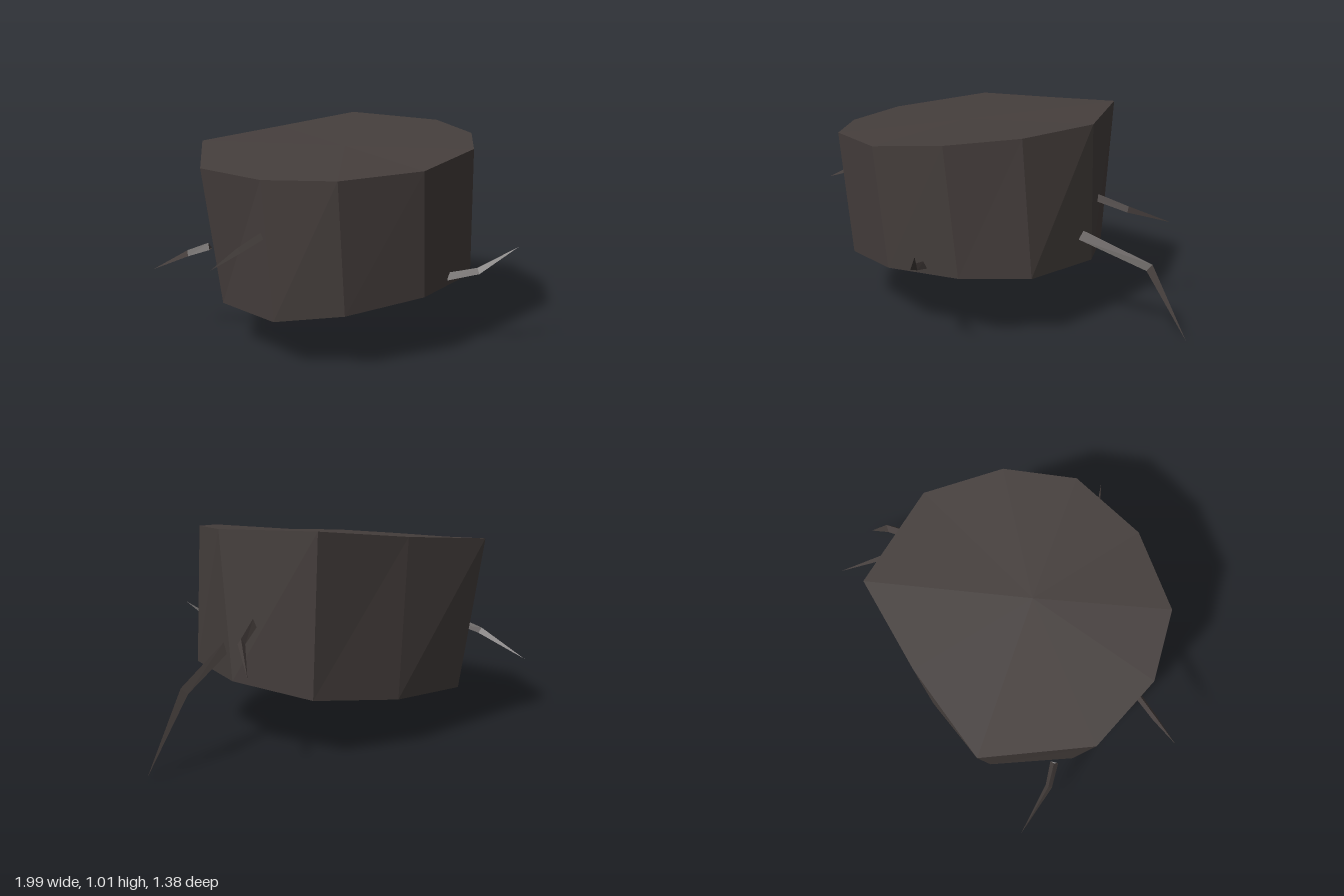
import * as THREE from 'three';

const bark = new THREE.MeshStandardMaterial({ color: 0x453e3c, flatShading: true, side: THREE.DoubleSide });
bark.name = 'darkBark';

// Flat-shaded mesh from a list of triangles of Vector3 corners
function facetMesh(name, points) {
  const geometry = new THREE.BufferGeometry().setFromPoints(points);
  geometry.computeVertexNormals();
  const mesh = new THREE.Mesh(geometry, bark);
  mesh.name = name;
  return mesh;
}

// Triangles of the band between two rings of equal length
function band(upper, lower) {
  const out = [];
  upper.forEach((a, i) => {
    const j = (i + 1) % upper.length;
    out.push(a, upper[j], lower[j], a, lower[j], lower[i]);
  });
  return out;
}

const toPoints = (rows) => rows.map((p) => new THREE.Vector3(...p));

// Trunk rims, from the back left corner round by the left side to the front
const topRim = toPoints([
  [-0.607, 0.94, -0.64], [-0.135, 0.975, -0.67], [0.32, 1.02, -0.65], [0.555, 1.005, -0.2], [0.47, 0.985, 0.18],
  [0.25, 0.96, 0.45], [-0.12, 0.91, 0.55], [-0.51, 0.895, 0.46], [-0.735, 0.885, 0.2], [-0.835, 0.89, -0.18],
]);
const bottomRim = toPoints([
  [-0.54, 0.215, -0.56], [-0.12, 0.235, -0.64], [0.31, 0.283, -0.6], [0.527, 0.323, -0.26], [0.51, 0.33, 0.146],
  [0.29, 0.338, 0.4], [-0.08, 0.318, 0.51], [-0.46, 0.28, 0.43], [-0.69, 0.235, 0.2], [-0.74, 0.225, -0.2],
]);

// Twigs: base, knee, tip, base radius
const twigs = [
  ['leftLongTwig', [[0.52, 0.465, -0.18], [0.805, 0.335, -0.345], [1.0, 0.005, -0.4]], 0.028],
  ['leftBackTwig', [[0.46, 0.605, -0.35], [0.58, 0.545, -0.455], [0.675, 0.45, -0.69]], 0.022],
  ['rightBackTwig', [[-0.74, 0.475, -0.32], [-0.815, 0.435, -0.4], [-0.915, 0.32, -0.62]], 0.022],
  ['rightTwig', [[-0.71, 0.63, 0.165], [-0.84, 0.583, 0.18], [-0.985, 0.525, 0.2]], 0.018],
  ['frontTwig', [[0.11, 0.365, 0.45], [0.19, 0.41, 0.575], [0.33, 0.53, 0.685]], 0.022],
];

// Bent, tapering three-sided spike
function makeTwig(name, rows, radius) {
  const path = toPoints(rows);
  const [base, knee, tip] = path;
  const ring = (centre, dir, r) => {
    const side = new THREE.Vector3(0, 1, 0).cross(dir).normalize();
    const up = dir.clone().cross(side).normalize();
    return [0, 1, 2].map((k) => {
      const a = Math.PI / 2 + (k * Math.PI * 2) / 3;
      return centre.clone().addScaledVector(side, Math.cos(a) * r).addScaledVector(up, Math.sin(a) * r);
    });
  };
  const d1 = knee.clone().sub(base).normalize();
  const d2 = tip.clone().sub(knee).normalize();
  const r0 = ring(base, d1, radius);
  const r1 = ring(knee, d1.clone().add(d2).normalize(), radius * 0.85);
  const points = band(r1, r0);
  r1.forEach((p, i) => points.push(p, r1[(i + 1) % 3], tip));
  // reverse each triangle so the faces look outward
  for (let i = 0; i < points.length; i += 3) [points[i + 1], points[i + 2]] = [points[i + 2], points[i + 1]];
  return facetMesh(name, points);
}

export function createModel() {
  const model = new THREE.Group();
  model.name = 'stump';

  // Hollow trunk wall, open underneath
  model.add(facetMesh('trunkWall', band(topRim, bottomRim)));

  // Sloping cut top
  const centre = topRim.reduce((sum, p) => sum.add(p), new THREE.Vector3()).divideScalar(topRim.length);
  const cap = [];
  topRim.forEach((p, i) => cap.push(centre, topRim[(i + 1) % topRim.length], p));
  model.add(facetMesh('cutTop', cap));

  twigs.forEach(([name, rows, radius]) => model.add(makeTwig(name, rows, radius)));
  return model;
}
